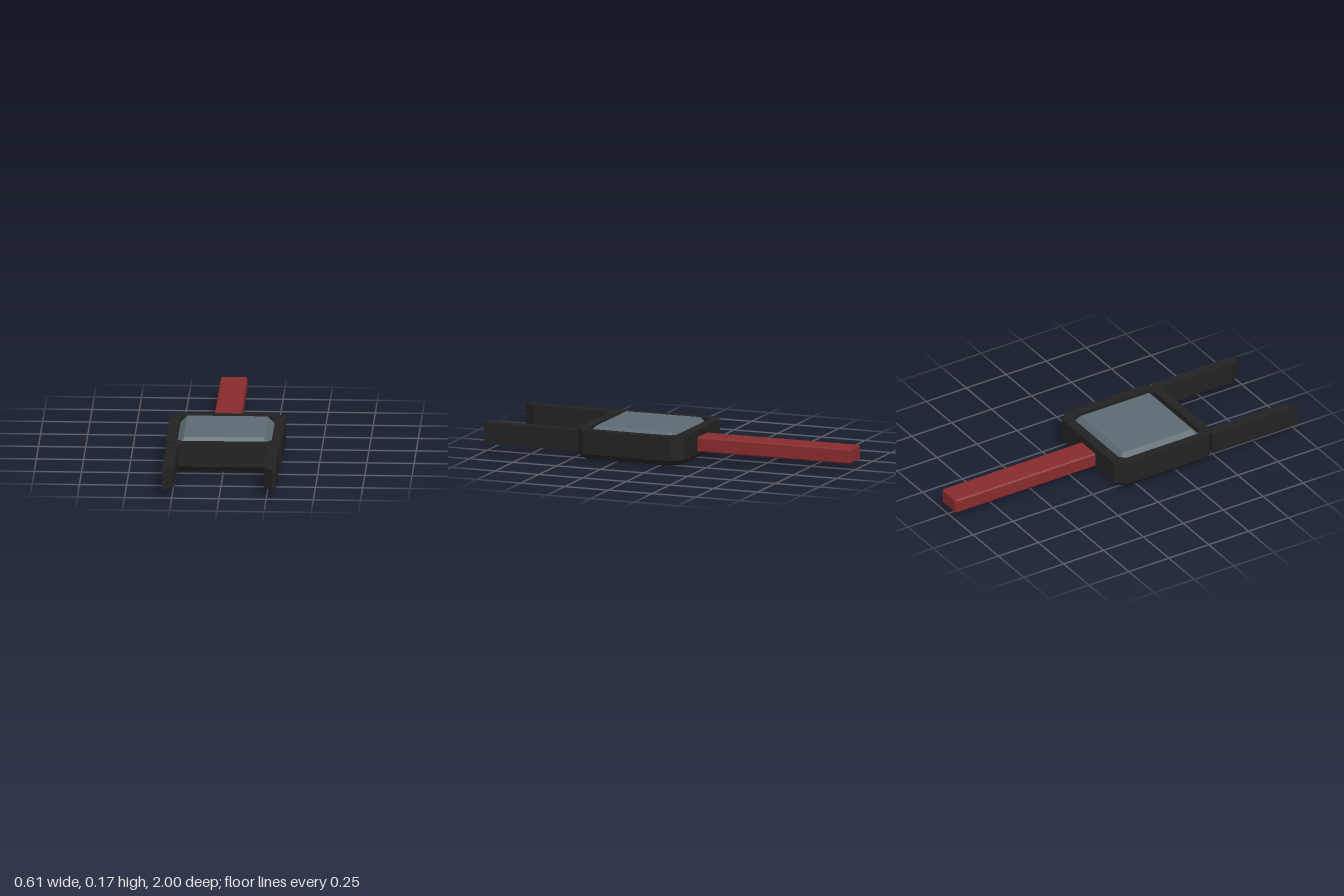
import * as THREE from 'three';

// Four-sided outline with cut corners, ordered counter-clockwise from above
function outline([hx, hz, cut, y]) {
  return [
    [hx, hz - cut], [hx, -hz + cut], [hx - cut, -hz], [-hx + cut, -hz],
    [-hx, -hz + cut], [-hx, hz - cut], [-hx + cut, hz], [hx - cut, hz],
  ].map(([x, z]) => new THREE.Vector3(x, y, z));
}

// Skin a stack of [halfX, halfZ, cornerCut, y] sections and cap both ends
function chamferedStack(sections) {
  const loops = sections.map(outline);
  const pts = [];
  const n = 8;
  for (let k = 0; k < loops.length - 1; k++) {
    for (let i = 0; i < n; i++) {
      const j = (i + 1) % n;
      const [a, b, c, d] = [loops[k][i], loops[k][j], loops[k + 1][j], loops[k + 1][i]];
      pts.push(a, b, c, a, c, d);
    }
  }
  const first = loops[0], last = loops[loops.length - 1];
  for (let i = 1; i < n - 1; i++) {
    pts.push(first[0], first[i + 1], first[i], last[0], last[i], last[i + 1]);
  }
  const geo = new THREE.BufferGeometry().setFromPoints(pts);
  geo.computeVertexNormals();
  return geo;
}

export function createModel() {
  const group = new THREE.Group();
  const material = (name, color) => {
    const m = new THREE.MeshStandardMaterial({ color });
    m.name = name;
    return m;
  };
  const black = material('black casing', 0x222222);
  const glass = material('grey glass', 0x5c6a71);
  const red = material('red strap', 0x882b2d);

  const add = (name, geo, mat) => {
    const mesh = new THREE.Mesh(geo, mat);
    mesh.name = name;
    group.add(mesh);
    return mesh;
  };

  // Case with bevelled underside and a recess in the top
  const caseZ = 0.181;
  add('case', chamferedStack([
    [0.275, 0.275, 0.045, 0],
    [0.307, 0.307, 0.055, 0.033],
    [0.307, 0.307, 0.055, 0.16],
    [0.253, 0.253, 0.03, 0.16],
    [0.253, 0.253, 0.03, 0.125],
  ]), black).position.z = caseZ;

  // Bevelled screen sitting in the recess
  add('screen', chamferedStack([
    [0.25, 0.25, 0.028, 0.127],
    [0.25, 0.25, 0.028, 0.132],
    [0.213, 0.213, 0.003, 0.171],
  ]), glass).position.z = caseZ;

  // Strap at the back, a long bar with chamfered edges
  const strap = chamferedStack([
    [0.063, 0.033, 0.004, 0.115],
    [0.07, 0.04, 0.007, 0.122],
    [0.07, 0.04, 0.007, 0.993],
    [0.063, 0.033, 0.004, 1],
  ]);
  strap.rotateX(-Math.PI / 2);
  add('strap', strap, red).position.set(-0.009, 0.081, 0);

  // Two front prongs, cut obliquely on the inside of the tip
  for (const side of [1, -1]) {
    const plan = new THREE.Shape([
      [0.237, 0.468], [0.299, 0.468], [0.299, 1], [0.286, 1], [0.237, 0.927],
    ].map(([x, z]) => new THREE.Vector2(side * x, z)));
    const prong = new THREE.ExtrudeGeometry(plan, { depth: 0.112, bevelEnabled: false });
    prong.rotateX(Math.PI / 2);
    add(side > 0 ? 'leftProng' : 'rightProng', prong, black).position.set(-0.002, 0.157, 0);
  }
  return group;
}
